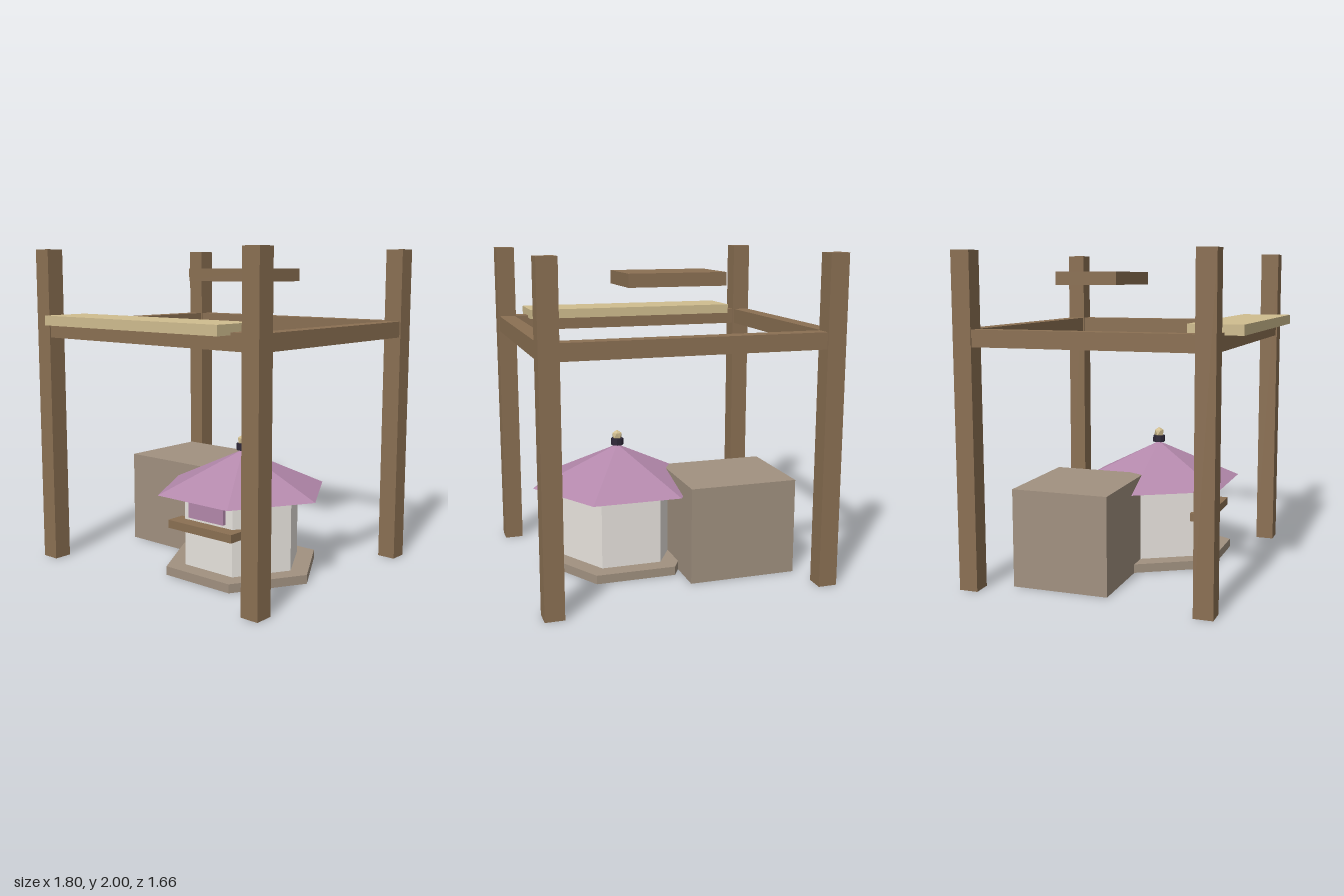
import * as THREE from 'three';

const mat = (color) => new THREE.MeshStandardMaterial({ color, flatShading: true });

export function createModel() {
  const model = new THREE.Group();
  const wood = mat(0x8b7053), tan = mat(0xd0bd8f), stone = mat(0xa19180);
  const plaster = mat(0xe8e4de), purple = mat(0xb388ab), dark = mat(0x2e2838);

  const add = (parent, name, geometry, material, x, y, z) => {
    const mesh = new THREE.Mesh(geometry, material);
    mesh.name = name;
    mesh.position.set(x, y, z);
    parent.add(mesh);
    return mesh;
  };
  // Box given by its limits on each axis
  const box = (parent, name, material, [x0, x1], [y0, y1], [z0, z1]) =>
    add(parent, name, new THREE.BoxGeometry(x1 - x0, y1 - y0, z1 - z0), material,
      (x0 + x1) / 2, (y0 + y1) / 2, (z0 + z1) / 2);
  // Upright prism or cone with corners on the x axis when it has six sides
  const prism = (parent, name, material, top, bottom, y0, y1, sides = 6) =>
    add(parent, name, new THREE.CylinderGeometry(top, bottom, y1 - y0, sides, 1, false, Math.PI / 6),
      material, 0, (y0 + y1) / 2, 0);

  // Timber frame: four posts joined by a ring of beams
  const frame = new THREE.Group();
  frame.name = 'timberFrame';
  model.add(frame);
  const px = 0.84, front = 0.67, back = -0.77, h = 0.058, b = 0.05;
  for (const x of [-px, px]) {
    for (const z of [front, back]) {
      box(frame, 'post', wood, [x - h, x + h], [0, 2], [z - h, z + h]);
    }
    box(frame, 'sideBeam', wood, [x - b, x + b], [1.45, 1.55], [back, front]);
  }
  for (const z of [front, back]) {
    box(frame, 'crossBeam', wood, [-px, px], [1.45, 1.55], [z - b, z + b]);
  }

  // Loose boards above
  box(model, 'frontBoard', tan, [-0.7, 0.7], [1.535, 1.595], [0.51, 0.83]);
  box(model, 'upperBoard', wood, [-0.3, 0.3], [1.8, 1.88], [-0.45, -0.05]);

  // Stone block behind the kiosk
  box(model, 'stoneBlock', stone, [-0.74, -0.06], [0, 0.6], [-0.55, 0.05]);

  // Six-sided kiosk
  const kiosk = new THREE.Group();
  kiosk.name = 'kiosk';
  kiosk.position.set(0.24, 0, 0.05);
  model.add(kiosk);
  prism(kiosk, 'plinth', stone, 0.503, 0.503, 0, 0.055);
  prism(kiosk, 'walls', plaster, 0.38, 0.38, 0.055, 0.51);
  prism(kiosk, 'roof', purple, 0, 0.555, 0.51, 0.76);
  box(kiosk, 'counter', wood, [-0.253, 0.253], [0.297, 0.348], [0.29, 0.415]);
  box(kiosk, 'awningPanel', purple, [-0.138, 0.138], [0.37, 0.52], [0.325, 0.355]);

  // Finial on the roof
  prism(kiosk, 'finialCollar', dark, 0.04, 0.04, 0.758, 0.8, 8);
  const ball = add(kiosk, 'finialBall', new THREE.IcosahedronGeometry(0.035, 0), tan, 0, 0.82, 0);
  ball.rotation.z = -0.5536;

  return model;
}
